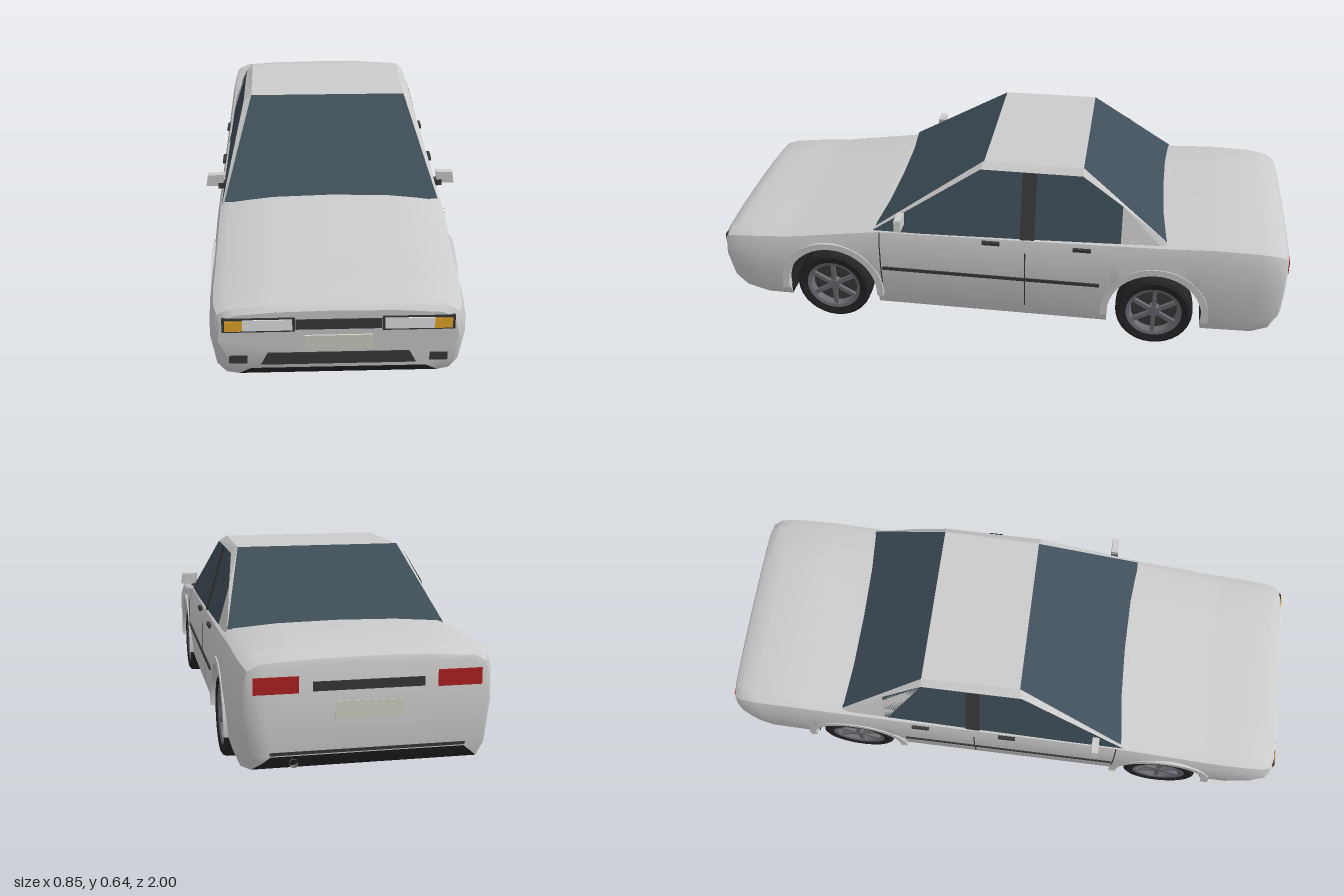
import * as THREE from 'three';
import { toCreasedNormals } from 'three/addons/utils/BufferGeometryUtils.js';

const mat = (color, side = THREE.FrontSide) => new THREE.MeshStandardMaterial({ color, side });
const paint = mat(0xcccccc), paint2 = mat(0xcccccc, THREE.DoubleSide);
const glass = mat(0x3f4e58, THREE.DoubleSide), black = mat(0x38383a, THREE.DoubleSide);
const under = mat(0x242424, THREE.DoubleSide), rubber = mat(0x242426, THREE.DoubleSide);
const alloy = mat(0x6a6a70, THREE.DoubleSide), lens = mat(0xe6e8ea), amber = mat(0xe8a82c);
const red = mat(0xb02222), plateMat = mat(0xd2d2c6);

const ARCHES = [0.595, -0.56], ARCH_R = 0.165, ARCH_Y = 0.135;

// body stations: z, half width, top height, bottom height, lower corner inset
const STATIONS = [
  [0.992, 0.355, 0.322, 0.127, 0.07], [0.978, 0.371, 0.336, 0.1, 0.05], [0.94, 0.382, 0.346, 0.08, 0.02],
  [0.85, 0.387, 0.354, 0.075, 0], [0.74, 0.387, 0.362, 0.075, 0], [0.42, 0.388, 0.41, 0.075, 0],
  [-0.1, 0.388, 0.42, 0.075, 0], [-0.58, 0.388, 0.432, 0.075, 0], [-0.75, 0.388, 0.44, 0.075, 0],
  [-0.9, 0.386, 0.437, 0.078, 0], [-0.96, 0.379, 0.428, 0.085, 0.015], [-0.988, 0.366, 0.412, 0.11, 0.03],
  [-0.996, 0.352, 0.396, 0.13, 0.04]
];

function stationAt(z) {
  let i = 0;
  while (i < STATIONS.length - 2 && z < STATIONS[i + 1][0]) i++;
  const a = STATIONS[i], b = STATIONS[i + 1], t = (z - a[0]) / (b[0] - a[0]);
  return a.map((v, k) => v + (b[k] - v) * t);
}

// cross-section from the left sill over the top to the right sill, cut at the wheel arch height
function section(z, cut = 0) {
  const [, w, t, b, inset] = stationAt(z);
  const half = [
    [w - 0.025 - inset, b], [w - 0.012 - inset * 0.3, b + 0.12 * (t - b)], [w, b + 0.5 * (t - b)],
    [w - 0.002, t - 0.075], [w - 0.014, t - 0.03], [w - 0.05, t - 0.012], [w * 0.5, t - 0.003]
  ].map(([x, y]) => [x, Math.max(y, cut), z]);
  return [...half, [0, t, z], ...half.slice().reverse().map(([x, y]) => [-x, y, z])];
}

// skin over rows of points, with optional end caps
function loft(rows, caps = false) {
  const n = rows[0].length, pos = rows.flat(2), idx = [];
  for (let i = 0; i < rows.length - 1; i++)
    for (let j = 0; j < n - 1; j++) {
      const a = i * n + j, c = a + n;
      idx.push(a, c, a + 1, a + 1, c, c + 1);
    }
  if (caps) {
    const last = (rows.length - 1) * n;
    for (let j = 1; j < n - 1; j++) idx.push(0, j, j + 1, last, last + j + 1, last + j);
  }
  const g = new THREE.BufferGeometry();
  g.setAttribute('position', new THREE.Float32BufferAttribute(pos, 3));
  g.setIndex(idx);
  return toCreasedNormals(g, 0.55);
}

// flat panel from a ring of corners; s = -1 mirrors it to the other side
function panelGeo(pts, s = 1) {
  const p = pts.map(([x, y, z]) => [x * s, y, z]);
  if (s < 0) p.reverse();
  const tris = [];
  for (let i = 1; i < p.length - 1; i++) tris.push(...p[0], ...p[i], ...p[i + 1]);
  const g = new THREE.BufferGeometry();
  g.setAttribute('position', new THREE.Float32BufferAttribute(tris, 3));
  g.computeVertexNormals();
  return g;
}

function wheel() {
  const g = new THREE.Group();
  const part = (name, geo, m) => {
    const o = new THREE.Mesh(geo, m);
    o.name = name;
    g.add(o);
    return o;
  };
  const lathe = pts => toCreasedNormals(
    new THREE.LatheGeometry(pts.map(p => new THREE.Vector2(...p)), 32).rotateZ(-Math.PI / 2), 0.5);
  part('tyre', lathe([[0.094, -0.038], [0.122, -0.0435], [0.132, -0.037], [0.135, -0.026], [0.135, 0.026],
    [0.132, 0.037], [0.122, 0.0435], [0.094, 0.038]]), rubber);
  part('rim', lathe([[0.096, -0.038], [0.086, -0.036], [0.08, 0.01], [0.086, 0.036], [0.098, 0.039]]), alloy);
  part('wheelDisc', lathe([[0, 0.012], [0.081, 0.012]]), black);
  part('hub', new THREE.CylinderGeometry(0.02, 0.024, 0.024, 16).rotateZ(-Math.PI / 2).translate(0.024, 0, 0), alloy);
  for (let i = 0; i < 6; i++)
    part('spoke', new THREE.BoxGeometry(0.012, 0.075, 0.015).translate(0.028, 0.05, 0).rotateX(i * Math.PI / 3), alloy);
  return g;
}

export function createModel() {
  const car = new THREE.Group();
  car.name = 'car';
  const add = (name, geo, m) => {
    const o = new THREE.Mesh(geo, m);
    o.name = name;
    car.add(o);
    return o;
  };
  const box = (name, x0, x1, y0, y1, z0, z1, m) => add(name, new THREE.BoxGeometry(x1 - x0, y1 - y0, z1 - z0)
    .translate((x0 + x1) / 2, (y0 + y1) / 2, (z0 + z1) / 2), m);

  // body shell and underside, both open at the wheel arches
  const cuts = STATIONS.map(s => [s[0], 0]).filter(([z]) => ARCHES.every(c => Math.abs(z - c) > ARCH_R));
  for (const c of ARCHES) {
    cuts.push([c + ARCH_R + 1e-4, 0], [c - ARCH_R - 1e-4, 0]);
    for (let i = 0; i <= 16; i++) {
      const a = i / 16 * Math.PI;
      cuts.push([c + ARCH_R * Math.cos(a), ARCH_Y + ARCH_R * Math.sin(a)]);
    }
  }
  cuts.sort((a, b) => b[0] - a[0]);
  const rows = cuts.map(([z, cut]) => section(z, cut));
  add('bodyShell', loft(rows, true), paint);
  add('underbody', loft(rows.map(r => [r[r.length - 1], r[0]])), under);

  // cabin: glass, roof and pillars
  const sideX = y => 0.303 + (0.62 - y) * 0.285;
  const side = (y, z, out = 0) => [sideX(y) + out, y, z];
  const wsL = [0.36, 0.398, 0.425], roofF = [0.275, 0.64, 0.05], roofB = [0.28, 0.64, -0.29], rwL = [0.355, 0.418, -0.585];
  const flip = ([x, y, z]) => [-x, y, z];
  add('windscreen', panelGeo([flip(wsL), wsL, roofF, flip(roofF)]), glass);
  add('roof', panelGeo([flip(roofF), roofF, roofB, flip(roofB)]), paint2);
  add('rearWindow', panelGeo([flip(roofB), roofB, rwL, flip(rwL)]), glass);
  const railF = side(0.62, 0.06), railB = side(0.62, -0.29), kink = side(0.53, -0.43), foot = side(0.385, -0.43);
  const cowl = side(0.385, 0.435);
  for (const s of [1, -1]) {
    add('roofRail', panelGeo([railF, railB, roofB, roofF], s), paint2);
    add('frontPillar', panelGeo([wsL, cowl, railF, roofF], s), paint2);
    add('sideGlass', panelGeo([cowl, foot, kink, railB, railF], s), glass);
    add('rearPillar', panelGeo([kink, foot, side(0.39, -0.58), rwL, roofB, railB], s), paint2);
    add('doorPillar', panelGeo([side(0.385, -0.085, 0.003), side(0.385, -0.135, 0.003),
      side(0.62, -0.135, 0.003), side(0.62, -0.085, 0.003)], s), black);

    // door seams, rubbing strip, handles
    const seam = [[0.364, 0.085], [0.377, 0.12], [0.3895, 0.245], [0.3875, 0.34], [0.376, 0.38]];
    for (const [z, from] of [[0.41, 0], [-0.105, 1]])
      add('doorSeam', loft([0.002, -0.002].map(d => seam.slice(from).map(([x, y]) => [x * s, y, z + d]))), black);
    const xs = (a, b) => s > 0 ? [a, b] : [-b, -a];
    box('rubbingStrip', ...xs(0.382, 0.392), 0.234, 0.246, -0.365, 0.405, black);
    for (const z of [0.015, -0.3]) box('doorHandle', ...xs(0.37, 0.388), 0.37, 0.381, z - 0.031, z + 0.031, black);

    // door mirror
    box('mirrorMount', ...xs(0.355, 0.384), 0.41, 0.431, 0.32, 0.345, black);
    const m = new THREE.Shape([[0.368, 0.419], [0.425, 0.419], [0.419, 0.46], [0.362, 0.46]]
      .map(([x, y]) => new THREE.Vector2(x * s, y)));
    add('mirror', new THREE.ExtrudeGeometry(m, { depth: 0.024, bevelEnabled: false }).translate(0, 0, 0.32), paint);

    // wheels and arch lips
    for (const z of ARCHES) {
      const w = wheel();
      w.name = z > 0 ? 'frontWheel' : 'rearWheel';
      w.position.set(s * 0.337, 0.135, z);
      if (s < 0) w.rotation.y = Math.PI;
      car.add(w);
      const lip = new THREE.Shape();
      lip.absarc(0, 0, 0.188, -0.1, Math.PI + 0.1, false);
      lip.absarc(0, 0, ARCH_R - 0.001, Math.PI + 0.1, -0.1, true);
      add('archLip', new THREE.ExtrudeGeometry(lip, { depth: 0.03, bevelEnabled: false, curveSegments: 20 })
        .rotateY(Math.PI / 2).translate(s > 0 ? 0.361 : -0.391, ARCH_Y, z), paint);
    }

    // lamps
    box('headlampSurround', ...xs(0.128, 0.342), 0.254, 0.301, 0.975, 0.995, black);
    box('headlamp', ...xs(0.136, 0.282), 0.26, 0.296, 0.98, 0.998, lens);
    box('indicator', ...xs(0.282, 0.334), 0.26, 0.293, 0.98, 0.999, amber);
    box('fogLamp', ...xs(0.27, 0.324), 0.146, 0.172, 0.97, 0.995, black);
    box('tailLamp', ...xs(0.205, 0.337), 0.315, 0.364, -1, -0.98, red);
  }

  // nose and tail trim
  box('grille', -0.126, 0.126, 0.261, 0.294, 0.98, 0.996, black);
  box('frontPlate', -0.1, 0.1, 0.19, 0.24, 0.98, 0.997, plateMat);
  const intake = new THREE.Shape([[-0.23, 0.14], [0.23, 0.14], [0.21, 0.18], [-0.21, 0.18]].map(p => new THREE.Vector2(...p)));
  add('lowerIntake', new THREE.ExtrudeGeometry(intake, { depth: 0.015, bevelEnabled: false }).translate(0, 0, 0.98), black);
  box('tailBand', -0.165, 0.165, 0.318, 0.346, -0.9985, -0.98, black);
  box('rearPlate', -0.1, 0.1, 0.235, 0.285, -0.9985, -0.98, plateMat);
  box('rearBumperStrip', -0.29, 0.29, 0.134, 0.143, -0.9985, -0.98, black);
  add('exhaust', new THREE.CylinderGeometry(0.013, 0.013, 0.09, 14, 1, true).rotateX(Math.PI / 2)
    .translate(0.22, 0.108, -0.953), alloy);
  return car;
}
